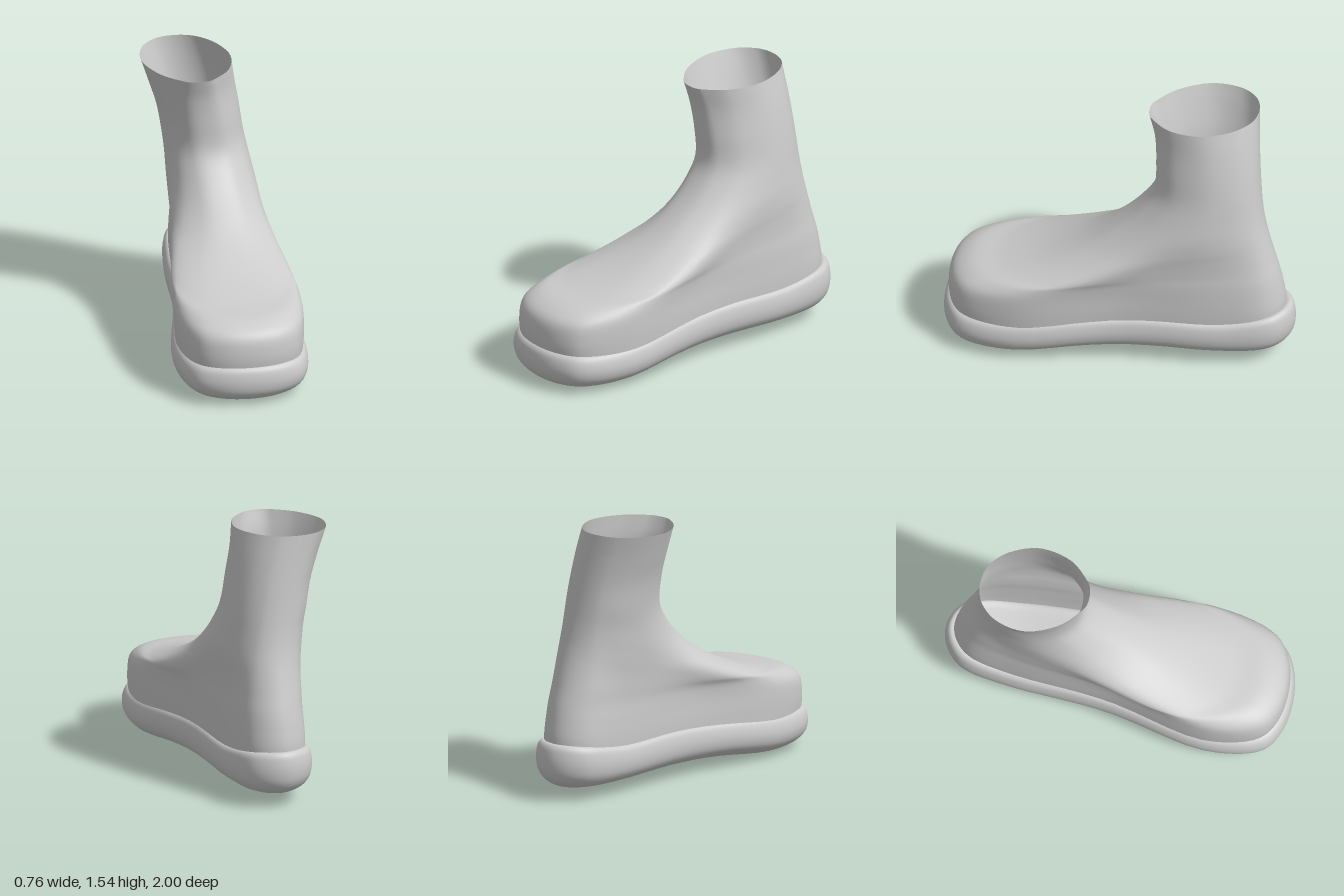
import * as THREE from 'three';

const AROUND = 90;
const lerp = THREE.MathUtils.lerp;

// Stations along a foot-shaped outline: [fraction heel to toe, which width, share of it]
const STATIONS = [[0.015, 0, 0.54], [0.06, 0, 1], [0.2, 1, 1], [0.48, 2, 1], [0.78, 3, 1], [0.94, 4, 1], [0.985, 4, 0.59]];

// Closed outline from back and front heights, ends, centres and
// [heel end, heel, middle, ball, toe] half widths
function outline([yB, zB, yF, zF, cB, cF, ...widths]) {
  const at = (u, w) => new THREE.Vector3(
    lerp(cB, cF, THREE.MathUtils.smoothstep(u, 0, 1)) + w, lerp(yB, yF, u), lerp(zB, zF, u));
  const rightSide = STATIONS.map(([u, k, s]) => at(u, -widths[k] * s));
  const leftSide = STATIONS.map(([u, k, s]) => at(u, widths[k] * s)).reverse();
  const curve = new THREE.CatmullRomCurve3([at(0, 0), ...rightSide, at(1, 0), ...leftSide], true);
  return Array.from({ length: AROUND }, (_, i) => curve.getPoint(i / AROUND));
}

// Smooth skin through a stack of outlines, listed so that the skin faces outward
function loft(rings, steps) {
  const columns = rings[0].map((_, i) =>
    new THREE.CatmullRomCurve3(rings.map((r) => r[i])).getPoints(steps));
  const positions = [], index = [];
  for (let j = 0; j <= steps; j++) {
    for (let i = 0; i < AROUND; i++) {
      positions.push(...columns[i][j].toArray());
      if (j === steps) continue;
      const a = j * AROUND + i, b = j * AROUND + (i + 1) % AROUND;
      index.push(a, b, b + AROUND, a, b + AROUND, a + AROUND);
    }
  }
  const geometry = new THREE.BufferGeometry();
  geometry.setAttribute('position', new THREE.Float32BufferAttribute(positions, 3));
  geometry.setIndex(index);
  geometry.computeVertexNormals();
  return geometry;
}

// Height along the length, from evenly spaced values between z = -1 and z = 1
function heightCurve(values) {
  const curve = new THREE.SplineCurve(values.map((y, i) => new THREE.Vector2(i, y)));
  return (z) => curve.getPoint(THREE.MathUtils.clamp((z + 1) / 2, 0, 1)).y;
}

function makeSole() {
  const bottom = heightCurve([0.065, 0.06, 0.065, 0.05, 0.003, 0.006]);
  const top = heightCurve([0.338, 0.288, 0.292, 0.272, 0.237, 0.235]);
  // Rim profile: [inset, share of the thickness]
  const profile = [[1, 0], [0.65, 0], [0.35, 0.05], [0.16, 0.16], [0.045, 0.33], [0, 0.55],
    [0.01, 0.78], [0.05, 0.93], [0.12, 1], [0.3, 0.97], [1, 0.9]];
  const rings = profile.map(([k, t]) => {
    const w = 1 - k, inset = k * 0.28;
    const ring = outline([0, -1 + inset, 0, 1 - inset, 0.045, -0.006,
      0.19 * w, 0.245 * w, 0.283 * w, 0.38 * w, 0.315 * w]);
    ring.forEach((p) => { p.y = lerp(bottom(p.z), top(p.z), t); });
    return ring;
  });
  return loft(rings, 60);
}

function makeUpper() {
  // yBack, zBack, yFront, zFront, centre back, centre front, half widths heel to toe
  const sections = [
    [0.22, -0.94, 0.17, 0.96, 0.045, -0.006, 0.165, 0.215, 0.255, 0.354, 0.285],
    [0.35, -0.948, 0.30, 0.975, 0.045, -0.006, 0.168, 0.22, 0.262, 0.363, 0.29],
    [0.46, -0.932, 0.41, 0.953, 0.045, -0.006, 0.165, 0.22, 0.262, 0.363, 0.283],
    [0.55, -0.912, 0.468, 0.865, 0.045, -0.005, 0.16, 0.217, 0.262, 0.352, 0.255],
    [0.64, -0.886, 0.5, 0.67, 0.04, -0.003, 0.154, 0.213, 0.261, 0.334, 0.232],
    [0.74, -0.858, 0.565, 0.44, 0.037, 0.002, 0.146, 0.21, 0.257, 0.295, 0.2],
    [0.82, -0.837, 0.667, 0.22, 0.033, 0.013, 0.138, 0.207, 0.252, 0.245, 0.155],
    [0.90, -0.82, 0.785, 0.05, 0.025, 0.018, 0.13, 0.2, 0.247, 0.214, 0.127],
    [1.00, -0.806, 0.925, -0.1, 0.012, 0.01, 0.122, 0.19, 0.236, 0.2, 0.12],
    [1.10, -0.797, 1.06, -0.19, -0.005, -0.005, 0.119, 0.187, 0.23, 0.195, 0.117],
    [1.25, -0.787, 1.23, -0.2, -0.032, -0.03, 0.119, 0.188, 0.232, 0.193, 0.115],
    [1.41, -0.778, 1.39, -0.187, -0.075, -0.064, 0.123, 0.197, 0.243, 0.195, 0.11],
    [1.543, -0.772, 1.515, -0.152, -0.12, -0.082, 0.128, 0.207, 0.253, 0.195, 0.1],
  ];
  return loft(sections.map(outline), 72);
}

export function createModel() {
  const model = new THREE.Group();
  model.name = 'boot';
  const add = (name, geometry) => {
    const mesh = new THREE.Mesh(geometry,
      new THREE.MeshStandardMaterial({ color: 0xcccccc, side: THREE.DoubleSide }));
    mesh.name = name;
    model.add(mesh);
  };
  // Thick sole with a rounded rim
  add('sole', makeSole());
  // Thin open upper: toe box, heel and leaning shaft
  add('upper', makeUpper());
  return model;
}
